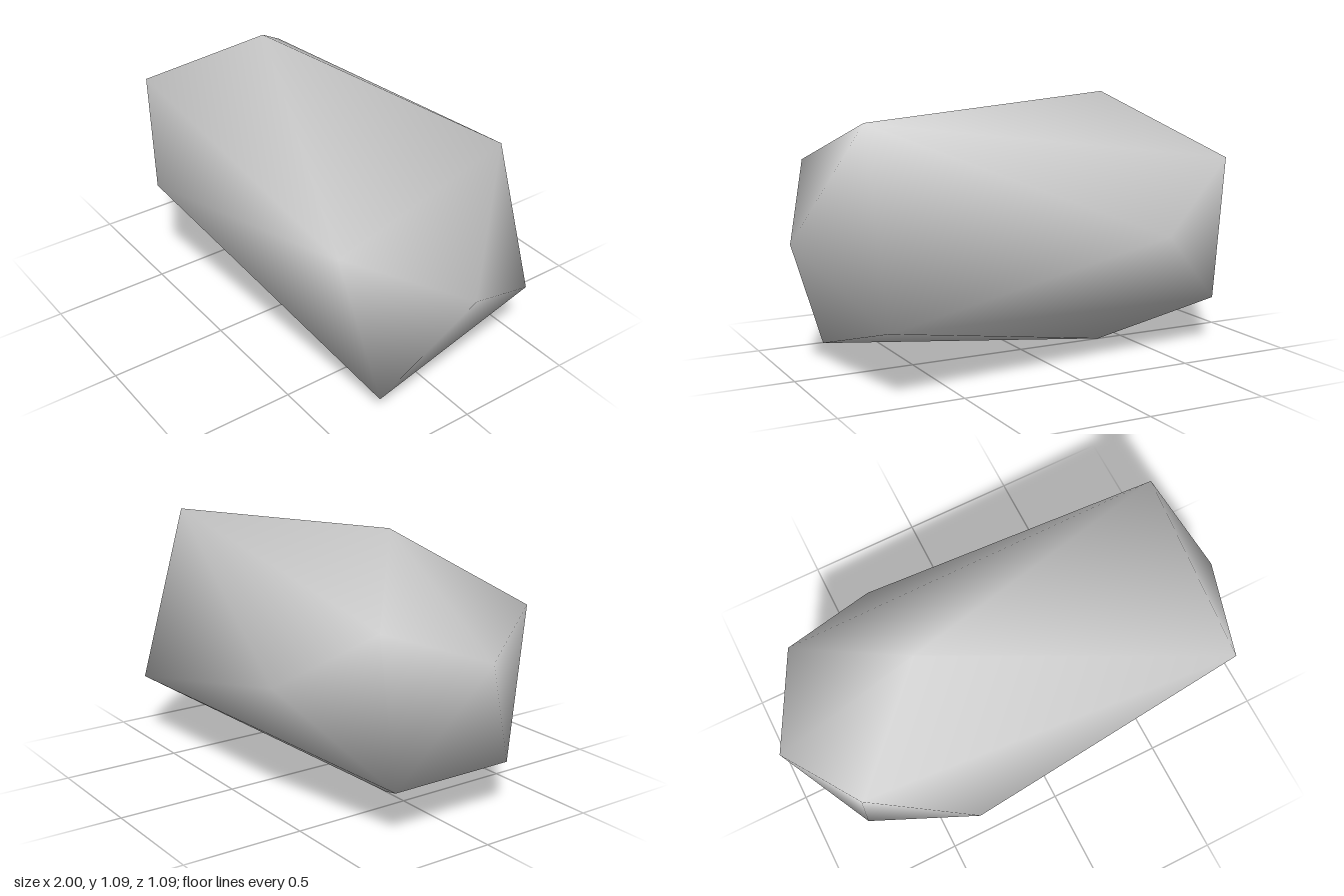
import * as THREE from 'three';
import { mergeVertices } from 'three/addons/utils/BufferGeometryUtils.js';
import { ConvexGeometry } from 'three/addons/geometries/ConvexGeometry.js';

const CENTRE_Y = 0.545;

// Four corners around the x axis, turned by an angle from straight up towards the back
function squareRing(x, radius, turn) {
  return [0, 1, 2, 3].map((i) => {
    const a = turn + (i * Math.PI) / 2;
    return new THREE.Vector3(x, CENTRE_Y + radius * Math.cos(a), -radius * Math.sin(a));
  });
}

export function createModel() {
  const group = new THREE.Group();
  group.name = 'boulder';

  const stone = new THREE.MeshStandardMaterial({ color: 0xcccccc });
  stone.name = 'pale grey stone';

  const points = [
    new THREE.Vector3(1, CENTRE_Y, 0), // pointed end
    ...squareRing(0.79, 0.55, THREE.MathUtils.degToRad(29)), // twisted shoulder
    ...squareRing(-0.385, 0.545, 0), // widest girth
    new THREE.Vector3(-1, 0.7, 0), // blunt end
  ];
  // Mirrored corners around the blunt end
  for (const side of [1, -1]) {
    points.push(new THREE.Vector3(-0.79, 0.82, 0.352 * side));
    points.push(new THREE.Vector3(-0.795, 0.2, 0.275 * side));
  }

  // Shared corners give smooth shading over the coarse facets
  const hull = new ConvexGeometry(points);
  hull.deleteAttribute('normal');
  const geometry = mergeVertices(hull, 1e-4);
  geometry.computeVertexNormals();

  const rock = new THREE.Mesh(geometry, stone);
  rock.name = 'rockBody';
  group.add(rock);
  return group;
}
